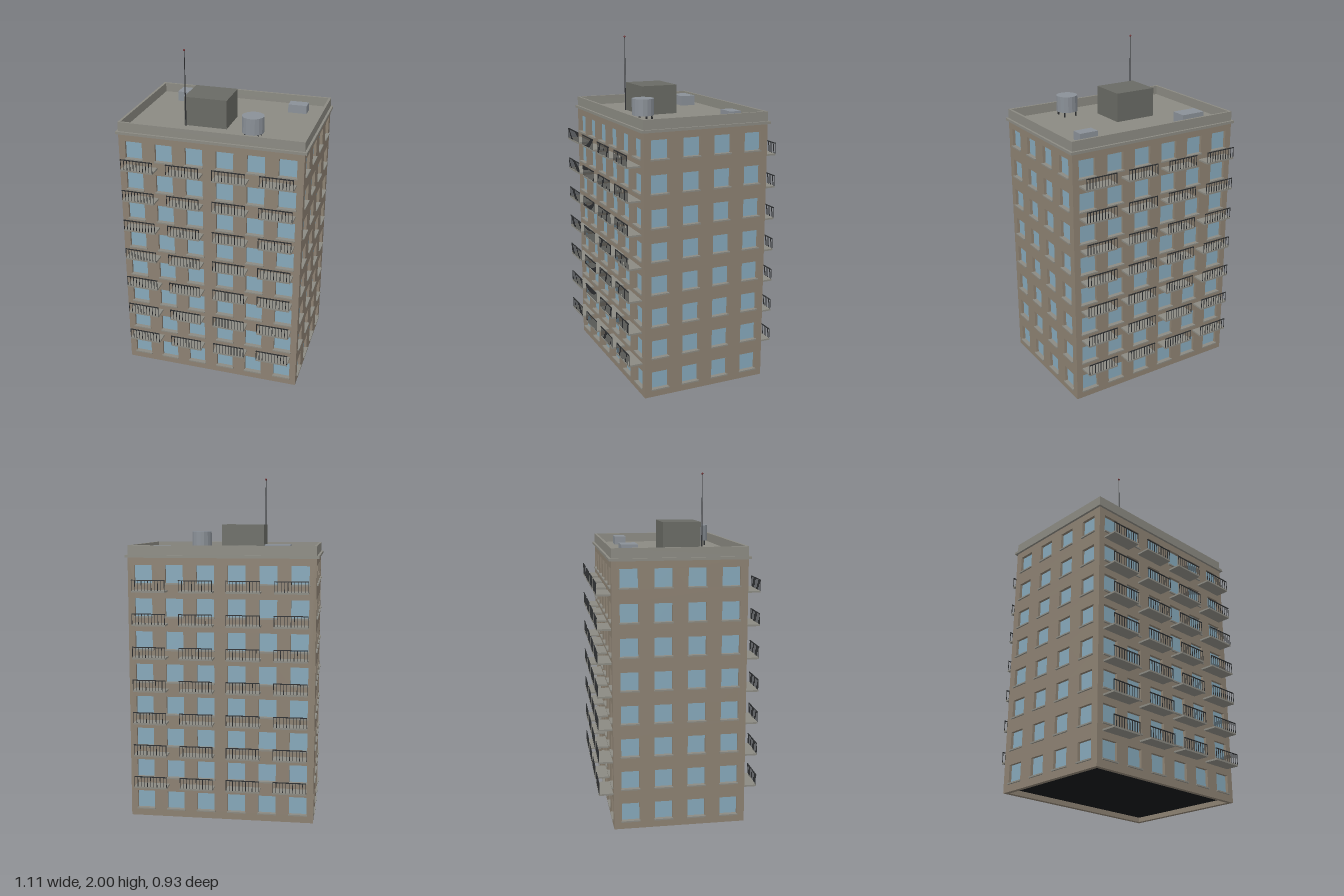
import * as THREE from 'three';
import { mergeGeometries } from 'three/addons/utils/BufferGeometryUtils.js';

const W = 1.08, D = 0.76, T = 0.025;          // footprint and wall thickness
const FLOORS = 8, FLOOR_H = 0.1915, WALL_H = 1.535, DECK = 1.55;
const WIN_W = 0.102, WIN_H = 0.108, WIN_Y = 0.045;

const mat = (color) => new THREE.MeshStandardMaterial({ color, flatShading: true });
const M = {
  wall: mat(0x8c8172),
  concrete: mat(0x8b8a82),
  glass: mat(0x86a8ba),
  metal: mat(0x2c2e30),
  bulkhead: mat(0x696a64),
  unit: mat(0x8a9097),
  core: mat(0x15181a),
  beacon: mat(0x6a1f22),
};

function add(parent, name, geometry, material, x = 0, y = 0, z = 0) {
  const mesh = new THREE.Mesh(geometry, material);
  mesh.name = name;
  mesh.position.set(x, y, z);
  parent.add(mesh);
  return mesh;
}

const box = (w, h, d, x = 0, y = 0, z = 0) => new THREE.BoxGeometry(w, h, d).translate(x, y, z);

function rectPath(path, x0, y0, x1, y1) {
  path.moveTo(x0, y0);
  path.lineTo(x1, y0);
  path.lineTo(x1, y1);
  path.lineTo(x0, y1);
  path.closePath();
  return path;
}

// Wall with real openings, recessed panes and sills; outer face at local z = 0
function facade(name, width, columns, pitch) {
  const group = new THREE.Group();
  group.name = name;
  const shape = rectPath(new THREE.Shape(), -width / 2, 0, width / 2, WALL_H);
  const panes = [], sills = [];
  for (let f = 0; f < FLOORS; f++) {
    const y = WIN_Y + f * FLOOR_H;
    for (let c = 0; c < columns; c++) {
      const x = (c - (columns - 1) / 2) * pitch;
      shape.holes.push(rectPath(new THREE.Path(), x - WIN_W / 2, y, x + WIN_W / 2, y + WIN_H));
      panes.push(box(WIN_W, WIN_H, 0.006, x, y + WIN_H / 2, -0.02));
      sills.push(box(WIN_W + 0.008, 0.008, 0.026, x, y, -0.004));
    }
  }
  const wall = new THREE.ExtrudeGeometry(shape, { depth: T, bevelEnabled: false }).translate(0, 0, -T);
  add(group, 'wall', wall, M.wall);
  add(group, 'windowPanes', mergeGeometries(panes), M.glass);
  add(group, 'windowSills', mergeGeometries(sills), M.concrete);
  return group;
}

// Balcony slab with a front railing, projecting from local z = 0
const BAL_W = 0.193, BAL_D = 0.082, RAIL_H = 0.06, BARS = 11;
const slabGeo = box(BAL_W, 0.01, BAL_D, 0, 0, BAL_D / 2);
function railingGeometry() {
  const z = BAL_D - 0.002;
  const parts = [box(BAL_W, 0.005, 0.005, 0, 0.005 + RAIL_H, z)];
  for (let i = 0; i < BARS; i++) {
    const x = (i / (BARS - 1) - 0.5) * (BAL_W - 0.004);
    parts.push(box(0.003, RAIL_H, 0.003, x, 0.005 + RAIL_H / 2, z));
  }
  return mergeGeometries(parts);
}
const railGeo = railingGeometry();

function balconies(parent) {
  for (let f = 1; f < FLOORS; f++) {
    for (const x of [-0.405, -0.135, 0.135, 0.405]) {
      const balcony = new THREE.Group();
      balcony.name = 'balcony';
      balcony.position.set(x, f * FLOOR_H + 0.006, 0);
      add(balcony, 'balconySlab', slabGeo, M.concrete);
      add(balcony, 'balconyRailing', railGeo, M.metal);
      parent.add(balcony);
    }
  }
}

function buildRoof() {
  const roof = new THREE.Group();
  roof.name = 'roof';
  add(roof, 'cornice', box(W + 0.026, DECK - WALL_H, D + 0.026), M.concrete, 0, (DECK + WALL_H) / 2);

  // Parapet ring
  const p = 0.014, h = 0.055;
  const ring = rectPath(new THREE.Shape(), -W / 2, -D / 2, W / 2, D / 2);
  ring.holes.push(rectPath(new THREE.Path(), p - W / 2, p - D / 2, W / 2 - p, D / 2 - p));
  const parapet = new THREE.ExtrudeGeometry(ring, { depth: h, bevelEnabled: false }).rotateX(-Math.PI / 2);
  add(roof, 'parapet', parapet, M.concrete, 0, DECK);

  add(roof, 'stairBulkhead', box(0.254, 0.17, 0.223), M.bulkhead, -0.084, DECK + 0.085, 0.066);
  add(roof, 'largeVentUnit', box(0.148, 0.06, 0.094), M.unit, -0.314, DECK + 0.03, -0.26);
  add(roof, 'smallVentUnit', box(0.112, 0.05, 0.07), M.unit, 0.37, DECK + 0.025, -0.235);

  // Water tank on four legs
  const tank = new THREE.Group();
  tank.name = 'waterTank';
  tank.position.set(0.216, DECK, 0.245);
  add(tank, 'tankBody', new THREE.CylinderGeometry(0.063, 0.063, 0.095, 16), M.unit, 0, 0.0775);
  for (const x of [-1, 1]) for (const z of [-1, 1]) {
    add(tank, 'tankLeg', box(0.008, 0.032, 0.008), M.metal, x * 0.038, 0.016, z * 0.038);
  }
  roof.add(tank);

  // Antenna mast with a beacon on top
  add(roof, 'antennaMast', new THREE.CylinderGeometry(0.002, 0.004, 0.442, 8), M.metal, -0.199, DECK + 0.221, 0.187);
  add(roof, 'antennaBeacon', new THREE.SphereGeometry(0.006, 8, 6), M.beacon, -0.199, 1.994, 0.187);
  return roof;
}

export function createModel() {
  const model = new THREE.Group();
  model.name = 'apartmentBlock';

  // Long facades carry the balconies, short ones only windows
  for (const [name, angle] of [['frontFacade', 0], ['backFacade', Math.PI]]) {
    const side = facade(name, W, 6, W / 6);
    balconies(side);
    side.rotation.y = angle;
    side.position.z = Math.cos(angle) * D / 2;
    model.add(side);
  }
  for (const [name, s] of [['leftFacade', 1], ['rightFacade', -1]]) {
    const side = facade(name, D - 2 * T, 4, D / 4);
    side.rotation.y = s * Math.PI / 2;
    side.position.x = s * W / 2;
    model.add(side);
  }

  // Dark interior behind the walls
  add(model, 'interiorCore', box(W - 0.1, WALL_H - 0.02, D - 0.1), M.core, 0, (WALL_H + 0.02) / 2);
  model.add(buildRoof());
  return model;
}
